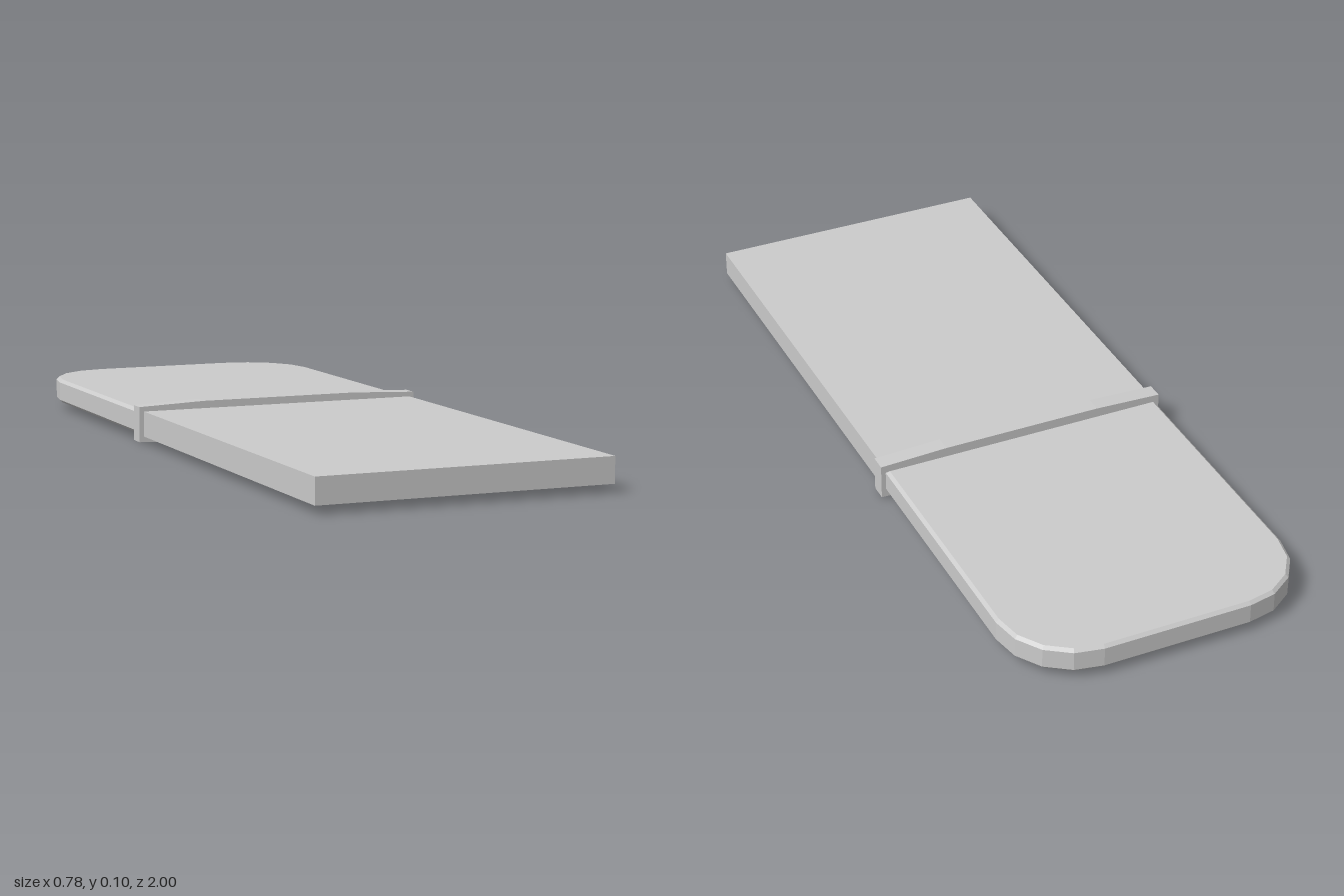
import * as THREE from 'three';

export function createModel() {
  const group = new THREE.Group();
  const material = new THREE.MeshStandardMaterial({ color: 0xcccccc, flatShading: true });
  const add = (name, geometry) => {
    const mesh = new THREE.Mesh(geometry, material);
    mesh.name = name;
    group.add(mesh);
    return mesh;
  };

  const halfWidth = 0.376, bottom = 0.021, top = 0.086;

  // Plain slab at the front, its end tucked inside the band
  const slab = add('frontSlab', new THREE.BoxGeometry(halfWidth * 2, top - bottom, 1.13));
  slab.position.set(0, (top + bottom) / 2, 0.435);

  // Cross band, thickest in the middle and tapering slightly to its ends
  const band = new THREE.Shape([
    [-0.388, 0.007], [-0.225, 0.001], [-0.2, 0], [0.2, 0], [0.225, 0.001], [0.388, 0.007],
    [0.388, 0.098], [0.21, 0.105], [-0.21, 0.105], [-0.388, 0.098],
  ].map(([x, y]) => new THREE.Vector2(x, y)));
  add('crossBand', new THREE.ExtrudeGeometry(band, { depth: 0.043, bevelEnabled: false }))
    .position.z = -0.155;

  // Bevelled rear plate with two faceted round corners
  const cornerX = 0.186, cornerZ = 0.19, steps = 4, bevel = 0.008;
  const right = [];
  for (let i = 0; i <= steps; i++) {
    const a = (i / steps) * Math.PI / 2;
    right.push(new THREE.Vector2(
      halfWidth - cornerX + cornerX * Math.cos(a),
      1 - cornerZ + cornerZ * Math.sin(a)));
  }
  const left = right.map(p => new THREE.Vector2(-p.x, p.y)).reverse();
  const outline = new THREE.Shape([
    new THREE.Vector2(-halfWidth, 0.155), new THREE.Vector2(halfWidth, 0.155), ...right, ...left,
  ]);
  const plate = new THREE.ExtrudeGeometry(outline, {
    depth: top - bottom - 2 * bevel, bevelSize: bevel, bevelThickness: bevel,
    bevelOffset: -bevel, bevelSegments: 1,
  });
  plate.rotateX(-Math.PI / 2);
  add('rearPlate', plate).position.y = bottom + bevel;

  return group;
}
